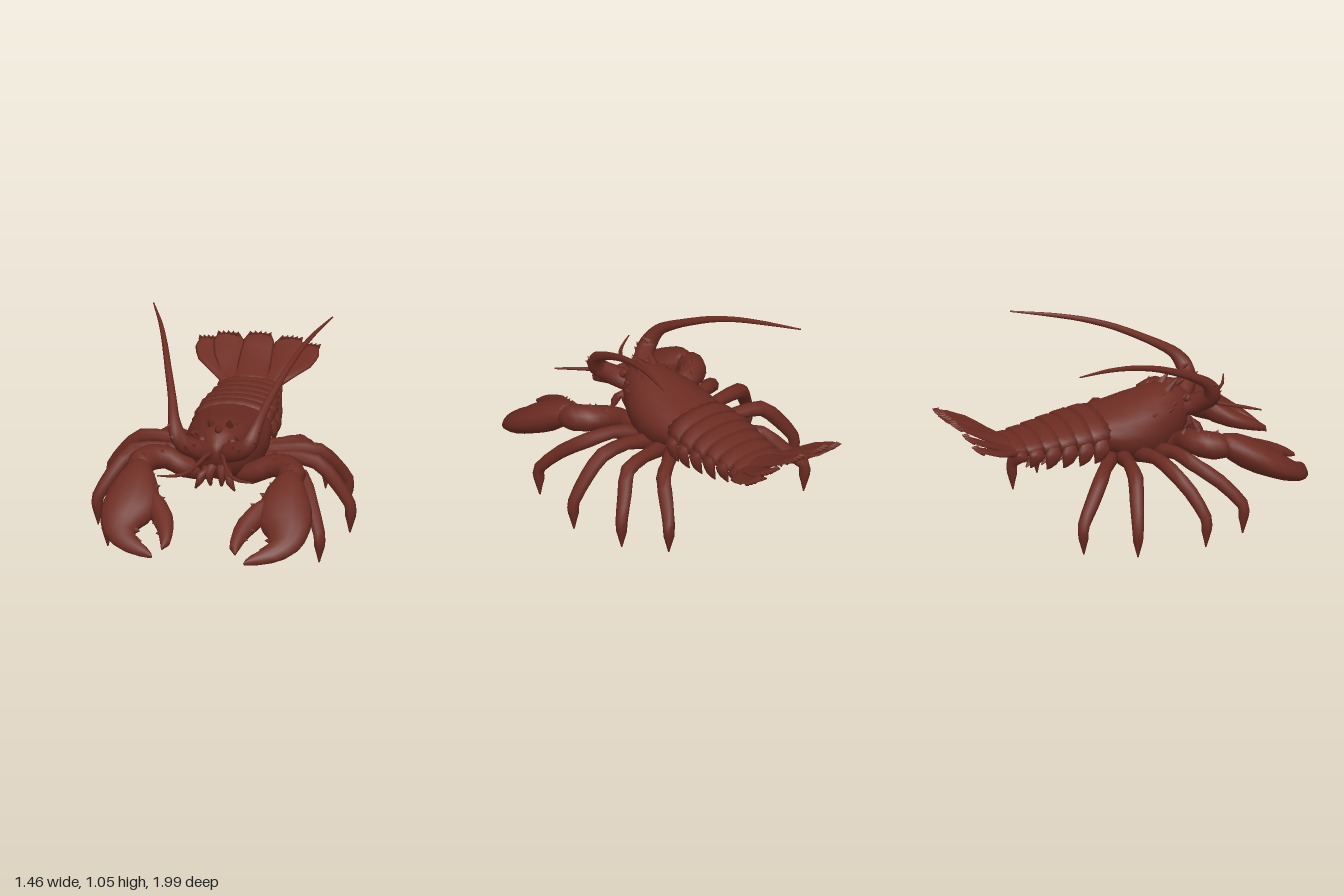
import * as THREE from 'three';

const shell = new THREE.MeshStandardMaterial({ color: 0x6c2c22 });
shell.name = 'dark red shell';
const V = (x, y, z) => new THREE.Vector3(x, y, z);

// Skin a list of equal rings of points, closing both ends
function skin(rings) {
  const n = rings[0].length, pos = [], idx = [];
  rings.forEach(r => r.forEach(p => pos.push(p.x, p.y, p.z)));
  for (let i = 0; i < rings.length - 1; i++) {
    for (let j = 0; j < n; j++) {
      const k = (j + 1) % n, a = i * n, b = a + n;
      idx.push(a + j, a + k, b + k, a + j, b + k, b + j);
    }
  }
  [0, rings.length - 1].forEach(e => {
    const c = V(0, 0, 0), ci = pos.length / 3;
    rings[e].forEach(p => c.addScaledVector(p, 1 / n));
    pos.push(c.x, c.y, c.z);
    for (let j = 0; j < n; j++) {
      const a = e * n + j, b = e * n + (j + 1) % n;
      if (e) idx.push(ci, a, b); else idx.push(ci, b, a);
    }
  });
  const g = new THREE.BufferGeometry();
  g.setAttribute('position', new THREE.Float32BufferAttribute(pos, 3));
  g.setIndex(idx);
  g.computeVertexNormals();
  return g;
}

// Upright slices [z, x centre, half width, bottom y, top y], z ascending; belly < 1 flattens the underside
function slices(list, sides = 16, belly = 1) {
  return skin(list.map(([z, x, w, y0, y1]) => Array.from({ length: sides }, (_, j) => {
    const a = j / sides * Math.PI * 2, sn = Math.sin(a);
    const v = sn < 0 ? -Math.pow(-sn, belly) : sn;
    return V(x + w * Math.cos(a), (y0 + y1) / 2 + (y1 - y0) / 2 * v, z);
  })));
}

// Limb through [x, y, z, half width, half height]; s mirrors it across x
function limb(pts, s = 1, sides = 8, up = V(0, 0.2, 1), steps = 2) {
  const curve = new THREE.CatmullRomCurve3(pts.map(p => V(p[0] * s, p[1], p[2])), false, 'catmullrom', 0.4);
  const n = (pts.length - 1) * steps, rings = [];
  for (let i = 0; i <= n; i++) {
    const t = i / n, f = t * (pts.length - 1), k = Math.min(Math.floor(f), pts.length - 2), m = f - k;
    const r = q => THREE.MathUtils.lerp(pts[k][q] ?? pts[k][3], pts[k + 1][q] ?? pts[k + 1][3], m);
    const c = curve.getPoint(t), T = curve.getTangent(t);
    const S = up.clone().cross(T).normalize(), U = T.clone().cross(S);
    rings.push(Array.from({ length: sides }, (_, j) => {
      const a = j / sides * Math.PI * 2;
      return c.clone().addScaledVector(S, r(3) * Math.cos(a)).addScaledVector(U, r(4) * Math.sin(a));
    }));
  }
  return skin(rings);
}

// Pointed cone standing at p and pointing along d
function spike(p, d, r, len) {
  const g = new THREE.ConeGeometry(r, len, 6);
  g.translate(0, len / 2, 0);
  g.applyQuaternion(new THREE.Quaternion().setFromUnitVectors(V(0, 1, 0), V(...d).normalize()));
  g.translate(...p);
  return g;
}

export function createModel() {
  const model = new THREE.Group();
  const add = (name, geo) => {
    const m = new THREE.Mesh(geo, shell);
    m.name = name;
    model.add(m);
  };
  const Y = V(0, 1, 0);

  // Carapace with a narrowing head
  add('carapace', slices([
    [-0.16, 0, 0.19, 0.44, 0.618], [-0.12, 0, 0.215, 0.4, 0.632], [-0.02, 0, 0.23, 0.35, 0.65],
    [0.08, 0, 0.228, 0.328, 0.675], [0.18, 0, 0.205, 0.328, 0.698], [0.26, 0, 0.17, 0.35, 0.71],
    [0.33, 0, 0.13, 0.39, 0.7], [0.38, 0, 0.09, 0.44, 0.675], [0.42, 0, 0.035, 0.53, 0.63]
  ], 20, 0.8));
  add('rostrum', spike([0, 0.665, 0.28], [0, 0.4, 1], 0.045, 0.14));

  // Overlapping abdomen rings with side flaps and swimmerets
  const widths = [0.218, 0.22, 0.207, 0.19, 0.174, 0.16];
  widths.forEach((w, i) => {
    const z = -0.115 - i * 0.092, top = 0.63 - i * 0.0165, bot = 0.438 + i * 0.004, low = Math.max(0, i - 3) * 0.018;
    add('abdomenSegment', slices([
      [z - 0.122, 0, w * 0.92, bot + 0.01, top - 0.024], [z - 0.112, 0, w, bot, top - 0.01],
      [z - 0.06, 0, w * 0.99, bot, top], [z, 0, w * 0.94, bot + 0.005, top - 0.004]
    ], 18, 0.7));
    for (const s of [1, -1]) {
      add('sideFlap', limb([
        [w * 0.88, 0.53 - i * 0.005, z - 0.06, 0.03, 0.015], [w * 1.01, 0.485, z - 0.065, 0.05, 0.022],
        [w * 0.99, 0.43 + low, z - 0.08, 0.036, 0.016], [w * 0.92, 0.39 + low, z - 0.1, 0.004, 0.004]
      ], s, 8, V(s, 0, 0)));
      if (i < 5) add('swimmeret', limb([
        [0.07, 0.45, z - 0.05, 0.012], [0.1, 0.425, z - 0.07, 0.03, 0.012], [0.12, 0.4, z - 0.11, 0.005]
      ], s, 6, Y));
    }
  });

  // Tail fan: middle plate and two rounded plates on each side, fringed at the end
  const fanPlate = (pts, s) => {
    add('tailFanPlate', limb(pts, s, 12, Y));
    const [x, y, z, w] = pts.at(-1);
    for (let k = -2; k <= 2; k++) {
      add('tailFringe', spike([s * x + k * w * 0.42, y - 0.004, z + 0.01 + Math.abs(k) * 0.004],
        [k * 0.12 + s * x * 0.9, 0.3, -1], 0.016, 0.036));
    }
  };
  fanPlate([[0, 0.505, -0.65, 0.11, 0.035], [0, 0.54, -0.73, 0.095, 0.024],
    [0, 0.595, -0.84, 0.09, 0.014], [0, 0.64, -0.92, 0.085, 0.01], [0, 0.66, -0.967, 0.06, 0.005]], 1);
  for (const s of [1, -1]) {
    fanPlate([[0.07, 0.495, -0.65, 0.06, 0.028], [0.11, 0.53, -0.74, 0.07, 0.02],
      [0.15, 0.585, -0.84, 0.085, 0.014], [0.168, 0.625, -0.92, 0.085, 0.01], [0.175, 0.65, -0.963, 0.058, 0.005]], s);
    fanPlate([[0.1, 0.49, -0.655, 0.045, 0.025], [0.155, 0.52, -0.73, 0.065, 0.02],
      [0.23, 0.567, -0.83, 0.098, 0.014], [0.265, 0.6, -0.905, 0.088, 0.01], [0.282, 0.622, -0.95, 0.05, 0.005]], s);
  }

  // Walking legs: base, knee and foot as [x, z], knee height
  const legs = [
    [[0.17, 0.18], [0.45, 0.26], [0.59, 0.5], 0.41], [[-0.17, 0.18], [-0.45, 0.26], [-0.59, 0.5], 0.41],
    [[0.17, 0.06], [0.5, 0.08], [0.69, 0.1], 0.415], [[-0.17, 0.06], [-0.52, 0.11], [-0.69, 0.24], 0.415],
    [[0.17, -0.04], [0.48, -0.11], [0.62, -0.22], 0.395], [[-0.17, -0.04], [-0.5, -0.1], [-0.68, -0.16], 0.405],
    [[0.16, -0.11], [0.35, -0.26], [0.46, -0.43], 0.365], [[-0.16, -0.11], [-0.37, -0.25], [-0.53, -0.42], 0.365]
  ];
  legs.forEach(([b, k, f, h]) => {
    const at = (p, q, t, y, r) => [p[0] + (q[0] - p[0]) * t, y, p[1] + (q[1] - p[1]) * t, r];
    add('walkingLeg', limb([
      at(b, k, 0, 0.39, 0.048), at(b, k, 0.5, h + 0.015, 0.037), at(k, f, 0, h, 0.043),
      at(k, f, 0.55, h - 0.1, 0.04), at(k, f, 1, 0.185, 0.034), at(k, f, 1.02, 0.11, 0.03),
      at(k, f, 1, 0.01, 0.004)
    ], 1, 8));
  });

  for (const s of [1, -1]) {
    // Claw arm
    add('clawArm', limb([
      [0.09, 0.38, 0.24, 0.045], [0.19, 0.43, 0.3, 0.06], [0.29, 0.48, 0.3, 0.064],
      [0.38, 0.49, 0.335, 0.075], [0.425, 0.48, 0.41, 0.077], [0.43, 0.46, 0.48, 0.055]
    ], s, 10, Y));
    [[0.3, 0.53, 0.27], [0.36, 0.545, 0.33], [0.43, 0.535, 0.36], [0.4, 0.535, 0.42], [0.31, 0.52, 0.34]]
      .forEach(([x, y, z]) => add('armSpine', spike([s * x, y, z], [s * 0.2, 1, 0.4], 0.018, 0.035)));

    // Claw sections [z, x centre, half width, half height, lift] sloping down to the tip
    const slope = z => 0.465 - 0.5 * (z - 0.48);
    const claw = list => slices(list.map(([z, x, w, h, lift = 0]) =>
      [z, s * x, w, slope(z) + lift - h, slope(z) + lift + h]), 14);
    add('clawPalm', claw([
      [0.44, 0.425, 0.045, 0.05], [0.48, 0.42, 0.08, 0.075], [0.55, 0.42, 0.118, 0.094],
      [0.63, 0.425, 0.147, 0.098], [0.7, 0.432, 0.156, 0.092], [0.76, 0.448, 0.139, 0.082],
      [0.81, 0.467, 0.108, 0.068], [0.87, 0.46, 0.086, 0.052], [0.92, 0.415, 0.08, 0.042],
      [0.955, 0.36, 0.077, 0.032], [0.98, 0.31, 0.05, 0.022], [0.997, 0.265, 0.01, 0.01]
    ]));
    add('clawFinger', claw([
      [0.62, 0.33, 0.04, 0.05], [0.68, 0.285, 0.06, 0.062], [0.75, 0.245, 0.064, 0.056, 0.005],
      [0.82, 0.215, 0.05, 0.046, 0.014], [0.88, 0.2, 0.038, 0.036, 0.022], [0.93, 0.194, 0.028, 0.026, 0.026],
      [0.97, 0.204, 0.006, 0.01, 0.03]
    ]));
    [[0.265, 0.8, 1], [0.235, 0.86, 1], [0.37, 0.84, -1], [0.35, 0.9, -1]]
      .forEach(([x, z, d]) => add('clawTooth',
        spike([s * (x - d * 0.02), slope(z) + (d > 0 ? 0.014 : 0), z], [s * d, 0, 0.2], 0.028, 0.045)));
    [[0.33, 0.53], [0.29, 0.6], [0.25, 0.67]].forEach(([x, z]) => add('clawSpine',
      spike([s * (x + 0.02), slope(z) + 0.03, z], [-s, 0.6, 0.2], 0.02, 0.04)));

    // Long antenna on a thick jointed base
    add('antenna', limb([
      [0.04, 0.57, 0.36, 0.055], [0.1, 0.61, 0.44, 0.058], [0.175, 0.665, 0.485, 0.052],
      [0.21, 0.72, 0.475, 0.045], [0.235, 0.785, 0.425, 0.031], [0.268, 0.86, 0.3, 0.023],
      [0.322, 0.945, 0.12, 0.019], [0.37, 1.0, -0.05, 0.016], [0.425, 1.035, -0.23, 0.012],
      [0.5, 1.058, -0.43, 0.004]
    ], s, 8, V(1, 0, 0), 3));
    [[0.11, 0.65, 0.48, 0], [0.15, 0.65, 0.51, 0], [0.21, 0.7, 0.5, 1], [0.23, 0.75, 0.46, 1], [0.17, 0.71, 0.46, -0.6]]
      .forEach(([x, y, z, d]) => add('antennaSpine', spike([s * x, y, z], [s * d, 0.6, 0.7], 0.02, 0.045)));

    // Antennules
    add('antennule', limb([[0.02, 0.58, 0.38, 0.015], [0.05, 0.59, 0.48, 0.012],
      [0.11, 0.565, 0.63, 0.011], [0.18, 0.565, 0.7, 0.009], [0.27, 0.58, 0.745, 0.004]], s, 6, Y));

    // Eyes, horns and mouthparts
    const eye = new THREE.SphereGeometry(0.026, 12, 8);
    eye.translate(s * 0.085, 0.64, 0.38);
    add('eye', eye);
    add('horn', spike([s * 0.045, 0.675, 0.27], [s * 0.2, 0.9, 0.75], 0.032, 0.11));
    add('mouthLeg', limb([[0.03, 0.42, 0.34, 0.025], [0.06, 0.485, 0.42, 0.024],
      [0.085, 0.43, 0.455, 0.022], [0.11, 0.38, 0.45, 0.005]], s, 7));
    add('mouthLeg', limb([[0.02, 0.5, 0.38, 0.03], [0.035, 0.46, 0.43, 0.026],
      [0.03, 0.39, 0.42, 0.008]], s, 7));

    // Small spines over the carapace
    [[0.08, 0.68, 0.22], [0.13, 0.64, 0.28], [0.16, 0.615, 0.24], [0.06, 0.665, 0.12],
      [0.1, 0.655, 0.35], [0.17, 0.605, 0.14]]
      .forEach(([x, y, z]) => add('carapaceSpine', spike([s * x, y - 0.005, z], [s * x * 2, 0.5, 0.9], 0.016, 0.036)));
  }
  return model;
}
